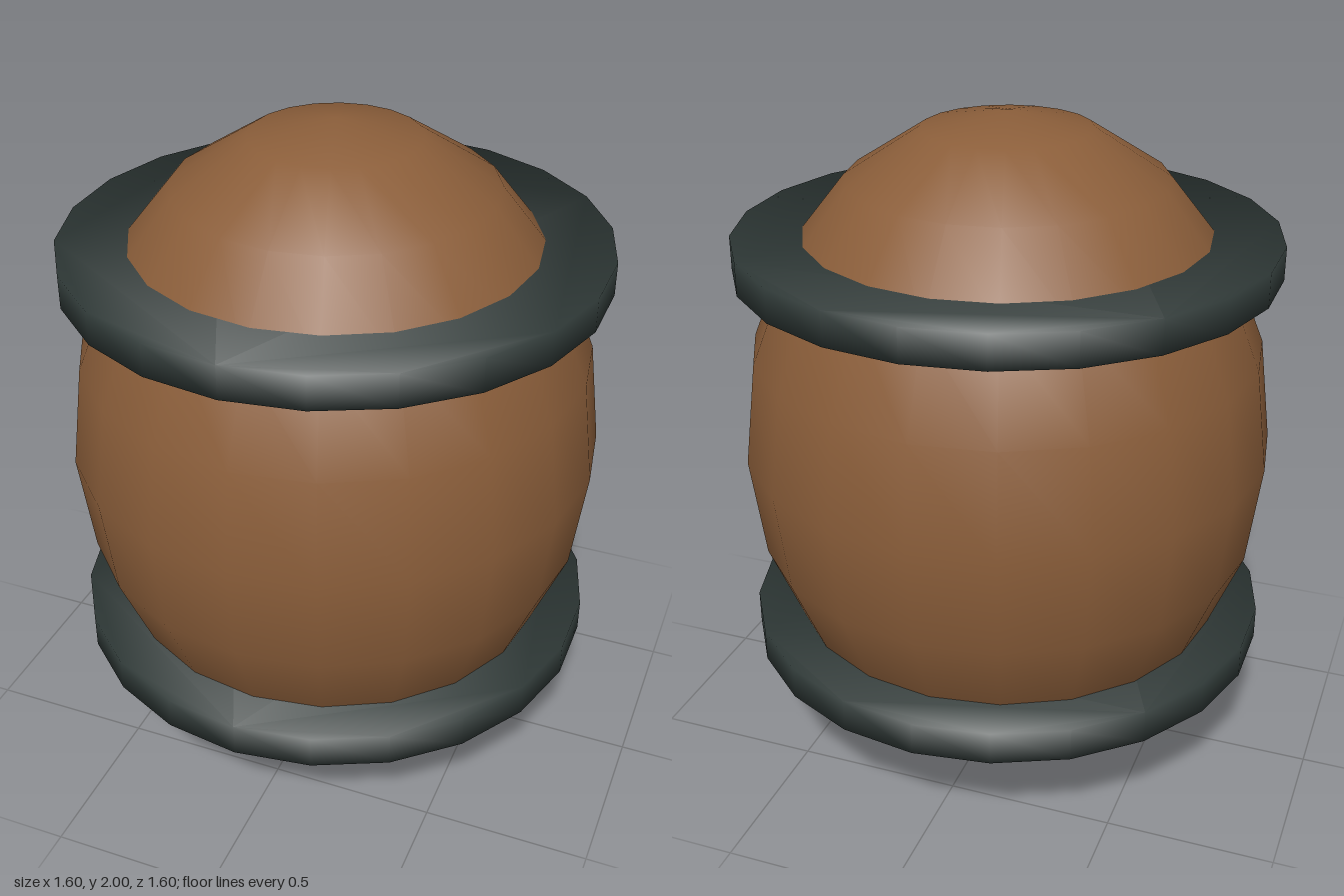
import * as THREE from 'three';

const RADIUS = 0.8;
const HOOP_SIDES = 22;
const HOOP_HEIGHT = 0.1;

// Solid disc whose rim and caps share one softly shaded, outward-leaning normal
function hoopGeometry() {
  const points = [];
  for (let i = 0; i < HOOP_SIDES; i++) {
    const a = (i / HOOP_SIDES) * Math.PI * 2;
    points.push(new THREE.Vector2(RADIUS * Math.sin(a), RADIUS * Math.cos(a)));
  }
  const geometry = new THREE.ExtrudeGeometry(new THREE.Shape(points), {
    depth: HOOP_HEIGHT, bevelEnabled: false, steps: 1,
  });
  geometry.rotateX(-Math.PI / 2).translate(0, -HOOP_HEIGHT / 2, 0);

  const { position, normal } = geometry.attributes;
  const n = new THREE.Vector3();
  for (let i = 0; i < position.count; i++) {
    n.set(position.getX(i) / RADIUS, 0.8 * Math.sign(position.getY(i)), position.getZ(i) / RADIUS).normalize();
    normal.setXYZ(i, n.x, n.y, n.z);
  }
  geometry.clearGroups();
  return geometry;
}

export function createModel() {
  const wood = new THREE.MeshStandardMaterial({ name: 'brown wood', color: 0x8b5e3a });
  const iron = new THREE.MeshStandardMaterial({ name: 'dark iron', color: 0x2f3937 });
  const model = new THREE.Group();
  model.name = 'barrel';

  // Egg-shaped barrel body
  const body = new THREE.Mesh(new THREE.SphereGeometry(1, 20, 10), wood);
  body.name = 'barrelBody';
  body.scale.set(RADIUS, 1, RADIUS);
  body.position.y = 1;
  model.add(body);

  // Upper and lower hoops
  const geometry = hoopGeometry();
  for (const [name, y] of [['upperHoop', 1.6], ['lowerHoop', 0.4]]) {
    const hoop = new THREE.Mesh(geometry, iron);
    hoop.name = name;
    hoop.position.y = y;
    model.add(hoop);
  }
  return model;
}
